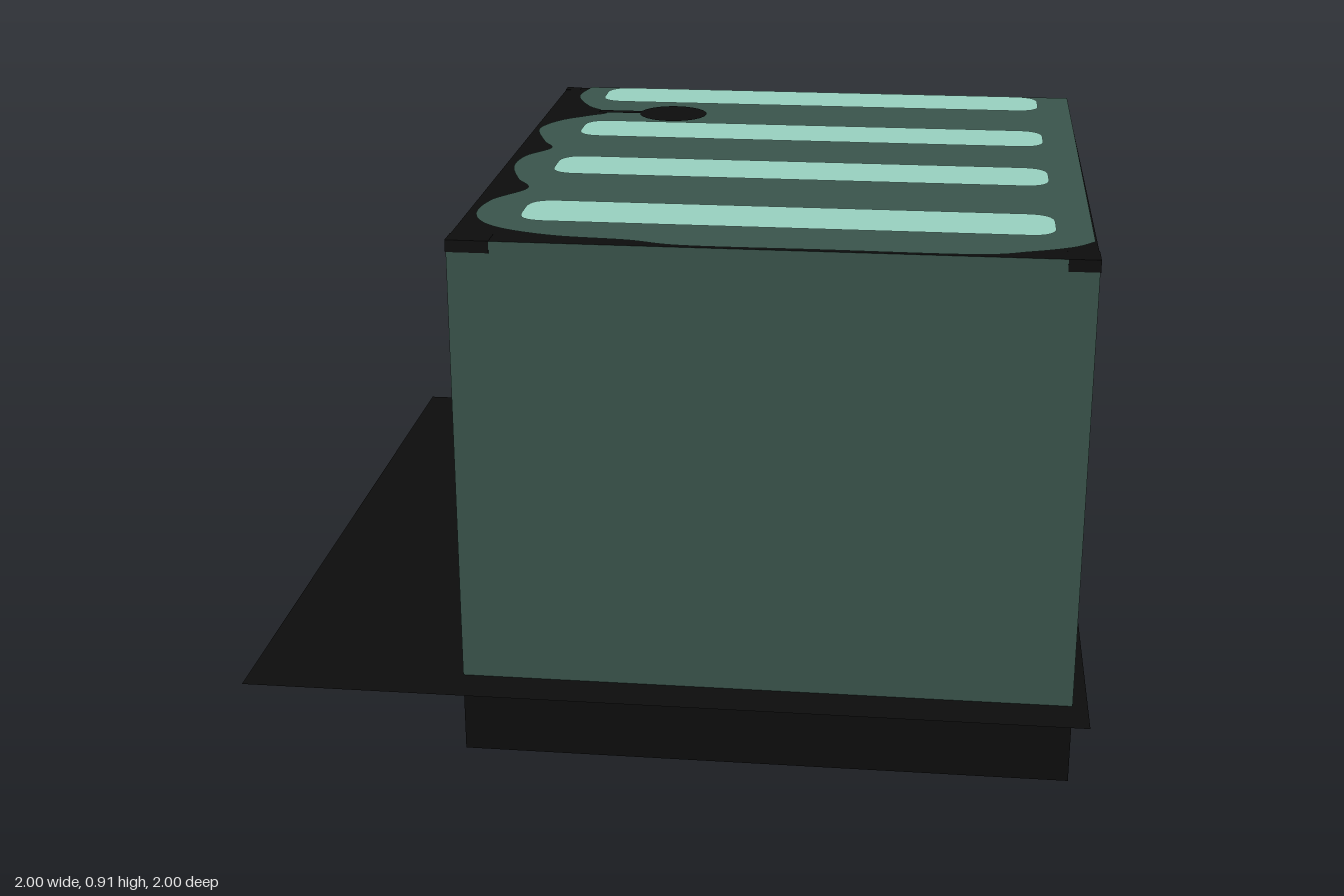
import * as THREE from 'three';

const green = new THREE.MeshStandardMaterial({ name: 'dark green', color: 0x3b564d });
const mint = new THREE.MeshStandardMaterial({ name: 'mint', color: 0x9ad4c2 });
const black = new THREE.MeshStandardMaterial({ name: 'black', color: 0x0d0d0d, side: THREE.DoubleSide });

const TOP = 0.908, SEAM = 0.14;
// Block limits in its own turned frame
const X0 = -0.633, X1 = 0.52, Z0 = -0.343, Z1 = 0.682;
const W = X1 - X0, D = Z1 - Z0, CX = (X0 + X1) / 2, CZ = (Z0 + Z1) / 2;

function add(parent, name, geometry, material, x = 0, y = 0, z = 0) {
  const mesh = new THREE.Mesh(geometry, material);
  mesh.name = name;
  mesh.position.set(x, y, z);
  parent.add(mesh);
  return mesh;
}

// Flat shape laid on the ground plane; shape y becomes -z
const flat = (shape) => new THREE.ShapeGeometry(shape, 8).rotateX(-Math.PI / 2);

function roundedRect(w, h, r) {
  const s = new THREE.Shape(), a = w / 2, b = h / 2;
  s.moveTo(-a + r, -b).lineTo(a - r, -b).quadraticCurveTo(a, -b, a, -b + r);
  s.lineTo(a, b - r).quadraticCurveTo(a, b, a - r, b);
  s.lineTo(-a + r, b).quadraticCurveTo(-a, b, -a, b - r);
  s.lineTo(-a, -b + r).quadraticCurveTo(-a, -b, -a + r, -b);
  return s;
}

export function createModel() {
  const model = new THREE.Group();
  model.name = 'stripedBlock';

  // Everything aligned with the block is turned by 45 degrees
  const turned = new THREE.Group();
  turned.name = 'block';
  turned.rotation.y = Math.PI / 4;
  model.add(turned);

  // Thin ground sheet, dark base and green walls with a black top face
  add(turned, 'groundSheet', new THREE.PlaneGeometry(Math.SQRT2, Math.SQRT2).rotateX(-Math.PI / 2), black, 0, SEAM, 0);
  add(turned, 'base', new THREE.BoxGeometry(W, SEAM, D), black, CX, SEAM / 2, CZ);
  add(turned, 'body', new THREE.BoxGeometry(W, TOP - SEAM, D),
    [green, green, black, black, green, green], CX, (TOP + SEAM) / 2, CZ);

  // Small dark patches wrapping three upper corners
  for (const [x, z, w, d] of [[X0, Z1, 0.05, 0.05], [X0, Z0, 0.04, 0.07], [X1, Z0, 0.025, 0.03]]) {
    add(turned, 'cornerPatch', new THREE.BoxGeometry(w, 0.02, d), black,
      x - Math.sign(x) * (w / 2 - 0.001), TOP - 0.0095, z - Math.sign(z) * (d / 2 - 0.001));
  }

  // Mint stripes
  for (const x of [-0.457, -0.146, 0.142, 0.442]) {
    add(turned, 'stripe', flat(roundedRect(0.13, 0.87, 0.045)), mint, x, TOP + 0.005, 0.185);
  }

  // Green top cover with a wavy, lobed edge
  const wave = [
    [0.1, 0.86], [0.05, 0.86], [-0.02, 0.835], [-0.1, 0.79], [-0.27, 0.62], [-0.42, 0.47],
    [-0.47, 0.39], [-0.55, 0.29], [-0.59, 0.19], [-0.57, 0.11], [-0.5, 0.05], [-0.41, 0.025],
    [-0.385, -0.04], [-0.34, -0.12], [-0.28, -0.17], [-0.21, -0.19], [-0.19, -0.24],
    [-0.14, -0.33], [-0.07, -0.365], [0.0, -0.365], [0.045, -0.365], [0.05, -0.43],
    [0.09, -0.52], [0.16, -0.575],
  ].map(([x, z]) => new THREE.Vector2(x, -z));
  const cover = new THREE.Shape();
  cover.moveTo(wave[0].x, wave[0].y).splineThru(wave.slice(1)).lineTo(0.85, -0.115);
  add(model, 'topCover', flat(cover), green, 0, TOP + 0.002, 0);

  // Dark round spot with its narrow neck
  const spot = add(model, 'darkSpot', new THREE.CircleGeometry(0.065, 24).rotateX(-Math.PI / 2), black, 0.135, TOP + 0.004, -0.267);
  spot.scale.set(1, 1, 1.02);
  const neck = add(model, 'spotNeck', new THREE.PlaneGeometry(0.1, 0.02).rotateX(-Math.PI / 2), black, 0.07, TOP + 0.004, -0.34);
  neck.rotation.y = -Math.PI / 4;

  // Two thin rods out of the back wall
  for (const [x, y, zOut, zIn, t] of [[0.055, 0.168, -0.825, -0.53, 0.018], [-0.03, 0.53, -0.635, -0.45, 0.012]]) {
    add(model, 'rod', new THREE.BoxGeometry(t, t, zIn - zOut), green, x, y, (zIn + zOut) / 2);
  }
  return model;
}
